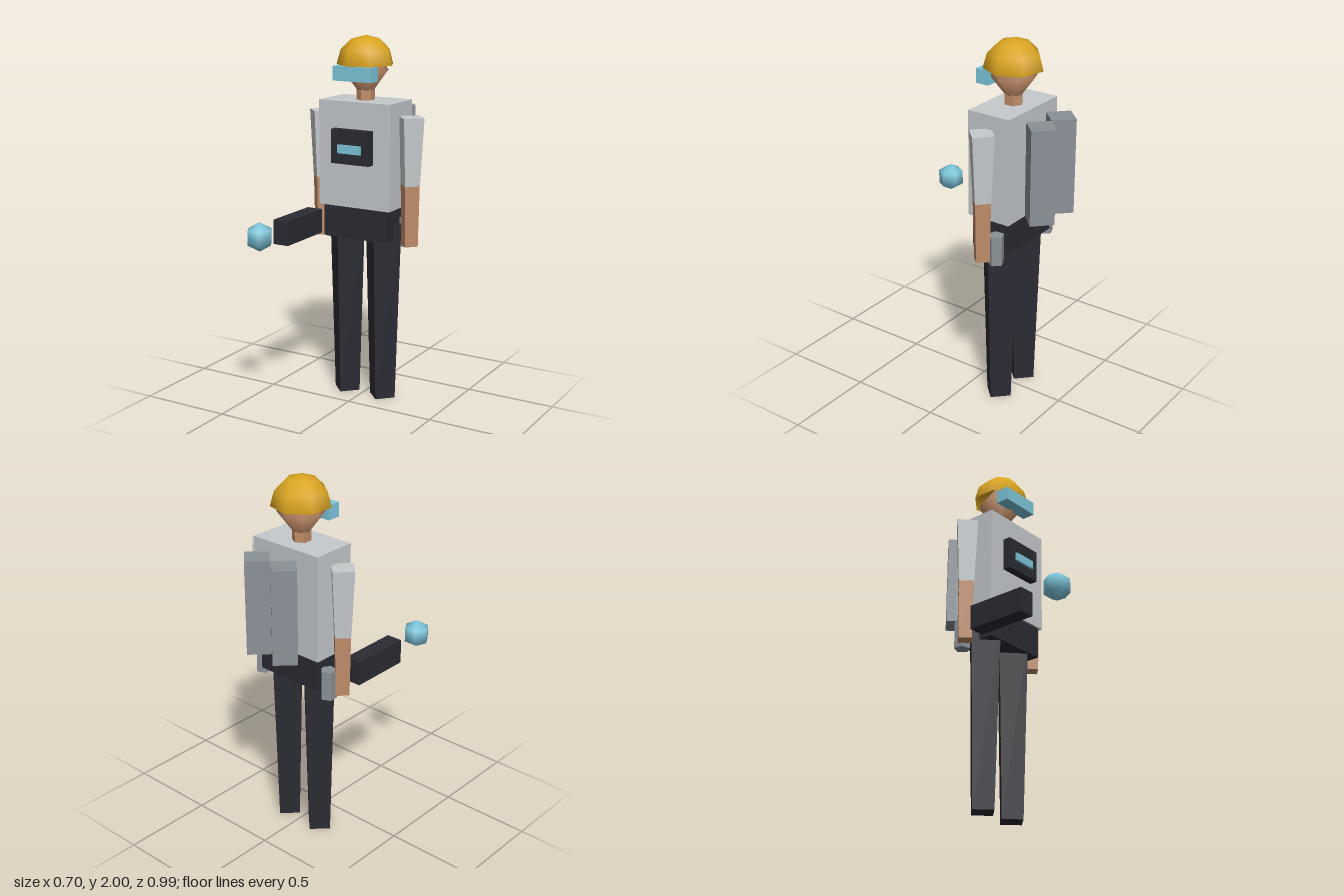
import * as THREE from 'three';

const paint = (name, color, extra = {}) => new THREE.MeshStandardMaterial({ name, color, ...extra });

export function createModel() {
  const group = new THREE.Group();
  const cloth = paint('lightGreyCloth', 0xc6cacd);
  const dark = paint('charcoal', 0x2b2b34);
  const skin = paint('skin', 0xc08c69);
  const gold = paint('goldHelmet', 0xdaa520, { side: THREE.DoubleSide });
  const cyan = paint('cyanGlow', 0x7ec8de);
  const metal = paint('steelGrey', 0x8b9298);
  const Z = -0.18; // depth of the body's centre line

  const add = (name, geometry, material, x, y, z) => {
    const mesh = new THREE.Mesh(geometry, material);
    mesh.name = name;
    mesh.position.set(x, y, z);
    group.add(mesh);
    return mesh;
  };
  // box given by its min and max along each axis
  const box = (name, mat, [x0, x1], [y0, y1], [z0, z1]) =>
    add(name, new THREE.BoxGeometry(x1 - x0, y1 - y0, z1 - z0), mat,
      (x0 + x1) / 2, (y0 + y1) / 2, (z0 + z1) / 2);
  // upright few-sided tapered column; flat facets
  const column = (name, mat, rTop, rBottom, sides, x, [y0, y1], z) => {
    const geo = new THREE.CylinderGeometry(rTop, rBottom, y1 - y0, sides).toNonIndexed();
    geo.computeVertexNormals();
    return add(name, geo, mat, x, (y0 + y1) / 2, z);
  };

  // Body
  box('torso', cloth, [-0.215, 0.215], [1.09, 1.66], [-0.302, -0.055]);
  box('hips', dark, [-0.192, 0.192], [0.915, 1.09], [-0.29, -0.065]);
  column('neck', skin, 0.05, 0.05, 6, 0, [1.64, 1.72], Z);

  // Head, visor and domed helmet
  const head = add('head', new THREE.SphereGeometry(0.125, 8, 2), skin, 0, 1.815, Z);
  head.scale.y = 1.32;
  box('visor', cyan, [-0.115, 0.115], [1.768, 1.845], [-0.105, -0.03]);
  const helmet = add('helmet',
    new THREE.SphereGeometry(0.156, 7, 3, 0, Math.PI * 2, 0, Math.PI / 2), gold, 0, 1.845, Z);
  helmet.scale.y = 0.155 / 0.156;
  helmet.rotation.y = Math.PI;

  // Chest unit
  box('chestPanel', dark, [-0.115, 0.115], [1.332, 1.515], [-0.056, -0.01]);
  box('chestScreen', cyan, [-0.068, 0.068], [1.39, 1.436], [-0.02, 0.003]);

  // Paired limbs, back tanks and hip canisters
  for (const [side, s] of [['left', 1], ['right', -1]]) {
    column(side + 'Leg', dark, 0.11, 0.079, 4, s * 0.113, [0, 1.0], Z);
    column(side + 'Sleeve', cloth, 0.079, 0.058, 4, s * 0.273, [1.22, 1.585], Z);
    column(side + 'Forearm', skin, 0.057, 0.05, 4, s * 0.273, [0.89, 1.22], Z);
    column(side + 'Tank', metal, 0.09, 0.09, 4, s * 0.09, [1.105, 1.615], -0.408);
    column(side + 'Canister', metal, 0.044, 0.044, 5, s * 0.23, [0.87, 1.03], -0.238).rotation.y = 0.4;
  }

  // Hand-held emitter and the orb in front of it
  box('emitterBarrel', dark, [-0.32, -0.23], [0.915, 1.048], [-0.1, 0.242]);
  add('orb', new THREE.SphereGeometry(0.078, 6, 3), cyan, -0.275, 1.003, 0.435);

  return group;
}
